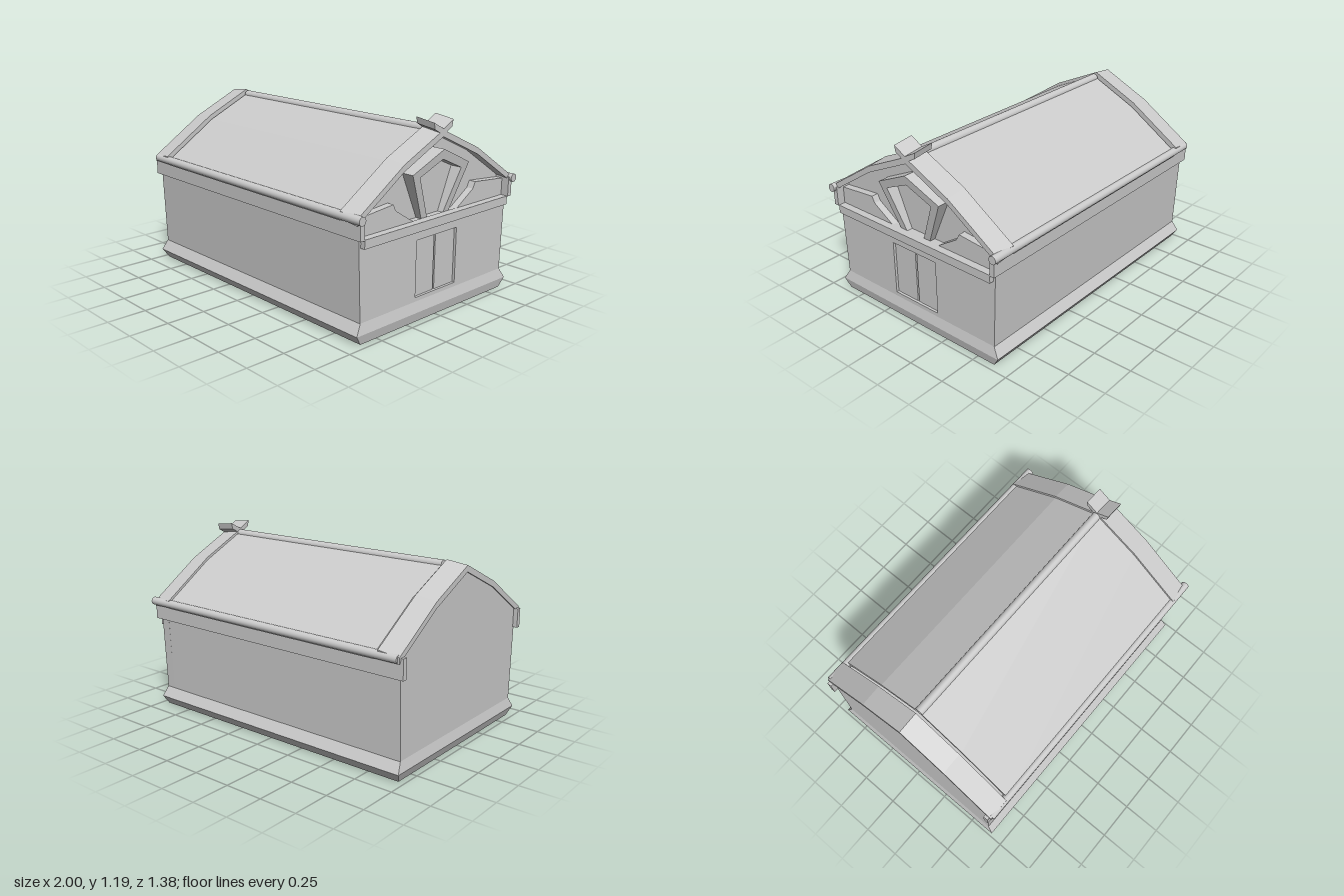
import * as THREE from 'three';

const mat = new THREE.MeshStandardMaterial({ color: 0xcccccc, flatShading: true, side: THREE.DoubleSide });
const smoothMat = new THREE.MeshStandardMaterial({ color: 0xcccccc });

// Mirrors a half outline of [z, y] points, running from one side to the middle
const mirror = (pts) => [...pts, ...pts.filter(p => p[0] !== 0).reverse().map(([z, y]) => [-z, y])];

export function createModel() {
  const group = new THREE.Group();

  const add = (name, geo, material = mat) => {
    const mesh = new THREE.Mesh(geo, material);
    mesh.name = name;
    group.add(mesh);
    return mesh;
  };
  const box = (name, x0, x1, y0, y1, z0, z1) =>
    add(name, new THREE.BoxGeometry(x1 - x0, y1 - y0, z1 - z0)
      .translate((x0 + x1) / 2, (y0 + y1) / 2, (z0 + z1) / 2));
  const rod = (name, r, x0, x1, y, z) =>
    add(name, new THREE.CylinderGeometry(r, r, x1 - x0, 20).rotateZ(Math.PI / 2)
      .translate((x0 + x1) / 2, y, z), smoothMat);

  // Extrudes a [z, y] outline along x; rule may move the vertices afterwards
  const alongX = (name, pts, x0, x1, { hole, rule } = {}) => {
    const to2 = (list) => list.map(([z, y]) => new THREE.Vector2(-z, y));
    const shape = new THREE.Shape(to2(pts));
    if (hole) shape.holes.push(new THREE.Path(to2(hole)));
    const geo = new THREE.ExtrudeGeometry(shape, { depth: x1 - x0, bevelEnabled: false })
      .rotateY(Math.PI / 2).translate(x0, 0, 0);
    if (rule) {
      const p = geo.attributes.position;
      for (let i = 0; i < p.count; i++) {
        const [x, y] = rule(p.getX(i), p.getY(i));
        p.setX(i, x);
        p.setY(i, y);
      }
      geo.computeVertexNormals();
    }
    return add(name, geo);
  };

  // Flared plinth with a shallow recessed underside: rings of [x0, x1, z, y]
  const rings = [
    [-0.93, 0.91, 0.575, 0.02], [-0.93, 0.91, 0.575, 0], [-0.96, 0.955, 0.625, 0],
    [-0.985, 0.968, 0.665, 0.06], [-0.97, 0.953, 0.625, 0.125],
  ].map(([x0, x1, z, y]) => [[x0, y, z], [x1, y, z], [x1, y, -z], [x0, y, -z]]);
  const verts = [];
  const quad = (a, b, c, d) => verts.push(...a, ...b, ...c, ...a, ...c, ...d);
  for (let r = 0; r < rings.length - 1; r++)
    for (let i = 0; i < 4; i++) {
      const j = (i + 1) % 4;
      quad(rings[r][i], rings[r][j], rings[r + 1][j], rings[r + 1][i]);
    }
  quad(rings[0][3], rings[0][2], rings[0][1], rings[0][0]);
  const plinth = new THREE.BufferGeometry();
  plinth.setAttribute('position', new THREE.Float32BufferAttribute(verts, 3));
  plinth.computeVertexNormals();
  add('plinth', plinth);

  // Walls, with a doorway in the +x end
  alongX('walls', mirror([[0.625, 0.1], [0.645, 0.72]]), -0.97, 0.89);
  alongX('entranceWall', mirror([[0.625, 0.1], [0.642, 0.61]]), 0.89, 0.952,
    { hole: mirror([[0.177, 0.15], [0.177, 0.5]]) });
  for (const s of [-1, 1]) {
    const z = [s * 0.006, s * 0.177].sort((a, b) => a - b);
    box('doorLeaf', 0.89, 0.935, 0.15, 0.5, z[0], z[1]);
  }
  box('entranceBeam', 0.93, 0.982, 0.56, 0.613, -0.627, 0.627);

  // Gables
  const gable = mirror([[0.645, 0.72], [0.645, 0.735], [0.32, 0.945], [0, 1.095]]);
  alongX('backGable', gable, -0.97, -0.94);
  alongX('entranceGable', gable, 0.85, 0.89);

  // Forward-leaning window frame and low side brackets on the entrance gable
  alongX('gableWindowFrame', [
    ...mirror([[0.12, 0.61], [0.245, 0.895], [0, 1.01]]),
    ...mirror([[0.07, 0.61], [0.18, 0.87], [0, 0.95]]).reverse(),
  ], 0.88, 0.93, { rule: (x, y) => [x > 0.9 ? x + (y - 0.61) * 0.14 : x, y] });
  for (const s of [-1, 1])
    alongX('gableBracket', [[0.19, 0.61], [0.34, 0.705], [0.36, 0.745], [0.63, 0.72], [0.63, 0.61]]
      .map(([z, y]) => [s * z, y]), 0.88, 0.935);

  // Roof: bent slabs, the end strips slightly raised and tilted
  const roof = (dy, t) => {
    const outer = [[0.675, 0.735], [0.32, 0.968], [0, 1.118]];
    const shift = (d) => mirror(outer.map(([z, y]) => [z, y + d]));
    return [...shift(dy), ...shift(dy - t).reverse()];
  };
  alongX('roofPanel', roof(0, 0.035), -0.82, 0.84);
  alongX('backRoofStrip', roof(0.022, 0.04), -0.982, -0.84,
    { rule: (x, y) => [x, y + (x + 0.84) * 0.11] });
  const frontTilt = { rule: (x, y) => [x, y - (x - 0.84) * 0.13] };
  alongX('frontRoofStrip', roof(0.018, 0.04), 0.84, 0.973, frontTilt);
  for (const s of [-1, 1])
    alongX('crossedRidgeEnd', [[0, 1.142], [0.083, 1.187], [0.075, 1.147], [-0.01, 1.1]]
      .map(([z, y]) => [s * z, y]), 0.84, 0.973, frontTilt);
  rod('ridgeCap', 0.028, -0.82, 0.84, 1.106, 0);

  // Eave bands and gutters
  for (const s of [-1, 1]) {
    const z = [s * 0.63, s * 0.662].sort((a, b) => a - b);
    box('eaveBand', -1, 0.985, 0.61, 0.735, z[0], z[1]);
    rod('gutter', 0.026, -0.97, 1, 0.727, s * 0.662);
  }
  return group;
}
